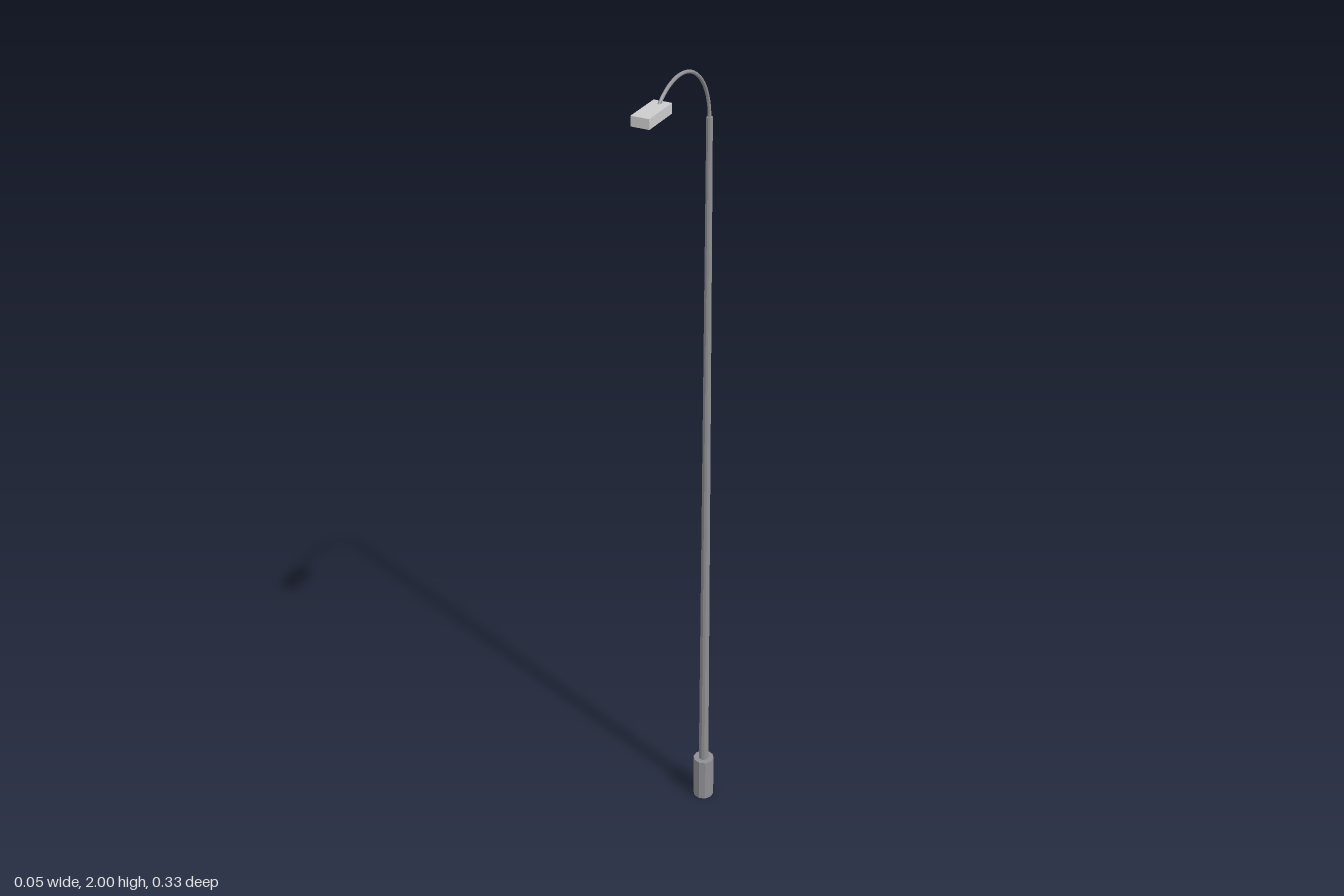
import * as THREE from 'three';

export function createModel() {
  const group = new THREE.Group();
  const metal = new THREE.MeshStandardMaterial({ color: 0x909094, flatShading: true });
  const grey = new THREE.MeshStandardMaterial({ color: 0xcccccc, flatShading: true });
  const poleZ = -0.141, armY = 1.857, armR = 0.139, tubeR = 0.004;

  const add = (name, geometry, material, y, z) => {
    const mesh = new THREE.Mesh(geometry, material);
    mesh.name = name;
    mesh.position.set(0, y, z);
    group.add(mesh);
  };

  // Ten-sided foot and tapering pole
  add('base', new THREE.CylinderGeometry(0.026, 0.026, 0.12, 10), metal, 0.06, poleZ);
  add('pole', new THREE.CylinderGeometry(0.007, 0.0125, 1.76, 10), metal, 0.98, poleZ);

  // Curved arm: rises from the pole, over the top and down into the lamp
  const start = Math.PI, end = Math.acos(0.096 / armR);
  const points = [];
  for (let i = 0; i <= 16; i++) {
    const a = start + (end - start) * i / 16;
    points.push(new THREE.Vector3(0, armR * Math.sin(a), armR * Math.cos(a)));
  }
  const curve = new THREE.CatmullRomCurve3(points);
  add('arm', new THREE.TubeGeometry(curve, 24, tubeR, 8), metal, armY, poleZ + armR);

  // Flat lamp head
  add('lampHead', new THREE.BoxGeometry(0.041, 0.022, 0.097), grey, 1.955, 0.1185);

  return group;
}
